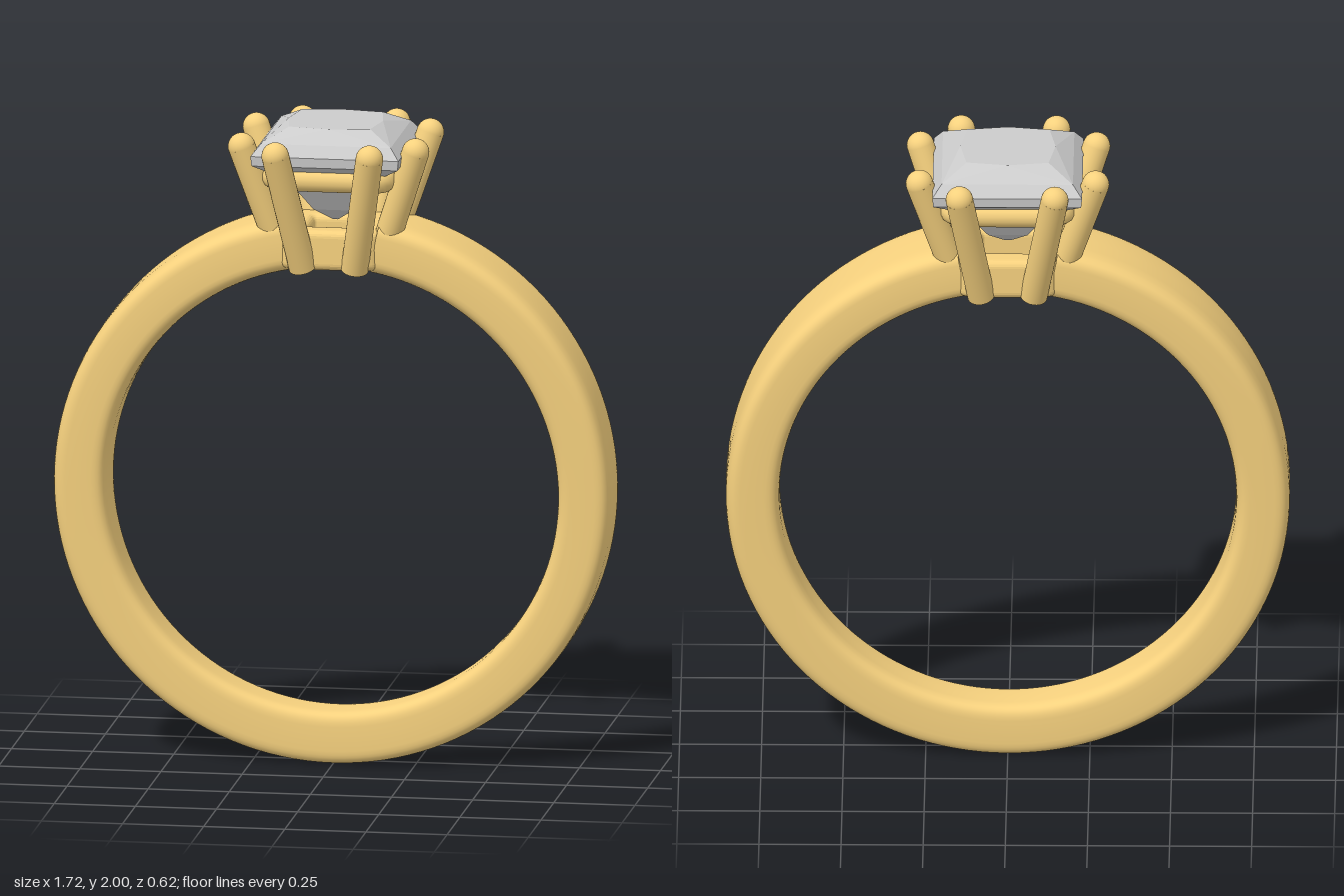
import * as THREE from 'three';

const gold = new THREE.MeshStandardMaterial({ color: 0xf6d17e });
const stone = new THREE.MeshStandardMaterial({ color: 0xcccccc, flatShading: true });

// Skin a list of equal-length point loops; both ends are closed with a fan.
function loft(loops) {
  const n = loops[0].length, pos = [], idx = [];
  loops.forEach(l => l.forEach(p => pos.push(p.x, p.y, p.z)));
  for (let i = 0; i < loops.length - 1; i++) {
    for (let j = 0; j < n; j++) {
      const a = i * n + j, b = i * n + (j + 1) % n;
      // alternate the diagonal so that facets mirror each other
      if (j % 2) idx.push(a, b, a + n, b, b + n, a + n);
      else idx.push(a, b, b + n, a, b + n, a + n);
    }
  }
  // separate cap vertices keep the end edges sharp
  [0, loops.length - 1].forEach((k, end) => {
    const base = pos.length / 3, c = new THREE.Vector3();
    loops[k].forEach(p => { c.addScaledVector(p, 1 / n); pos.push(p.x, p.y, p.z); });
    pos.push(c.x, c.y, c.z);
    for (let j = 0; j < n; j++) {
      const a = base + j, b = base + (j + 1) % n;
      idx.push(base + n, ...(end ? [a, b] : [b, a]));
    }
  });
  const g = new THREE.BufferGeometry();
  g.setAttribute('position', new THREE.Float32BufferAttribute(pos, 3));
  g.setIndex(idx);
  g.computeVertexNormals();
  return g;
}

// Rounded square outline
function roundedSquare(half, r, Type = THREE.Shape) {
  const s = new Type(), k = half - r;
  s.absarc(k, k, r, 0, Math.PI / 2);
  s.absarc(-k, k, r, Math.PI / 2, Math.PI);
  s.absarc(-k, -k, r, Math.PI, Math.PI * 1.5);
  s.absarc(k, -k, r, Math.PI * 1.5, Math.PI * 2);
  s.closePath();
  return s;
}

// Band: soft-cornered section swept round the finger, wider towards the top, open under the stone
function shankGeometry() {
  const centre = 0.863, mid = 0.777, thick = 0.082, gap = 0.18, steps = 128, sides = 40;
  const soft = v => Math.sign(v) * Math.pow(Math.abs(v), 0.42);
  const loops = [];
  for (let i = 0; i <= steps; i++) {
    const t = gap + (i / steps) * (Math.PI * 2 - gap * 2);
    const width = 0.118 + 0.029 * Math.cos(t);
    const loop = [];
    for (let j = 0; j < sides; j++) {
      const a = (j / sides) * Math.PI * 2;
      const r = mid + thick * soft(Math.cos(a));
      loop.push(new THREE.Vector3(r * Math.sin(t), centre + r * Math.cos(t), width * soft(Math.sin(a))));
    }
    loops.push(loop);
  }
  return loft(loops);
}

// Square-cut stone: each level has a corner half-size, a mid-side half-size and a height
function gemGeometry() {
  const levels = [
    [0.008, 0.008, 1.69], [0.06, 0.06, 1.73], [0.13, 0.13, 1.835], [0.225, 0.225, 1.895],
    [0.228, 0.228, 1.925], [0.2, 0.2, 1.96], [0.125, 0.145, 2.0]
  ];
  return loft(levels.map(([c, m, y]) =>
    [[c, c], [m, 0], [c, -c], [0, -m], [-c, -c], [-m, 0], [-c, c], [0, m]]
      .map(([x, z]) => new THREE.Vector3(x, y, z))));
}

export function createModel() {
  const ring = new THREE.Group();
  ring.name = 'ring';
  const add = (name, geometry, material, parent = ring) => {
    const m = new THREE.Mesh(geometry, material);
    m.name = name;
    parent.add(m);
    return m;
  };

  add('shank', shankGeometry(), gold);
  add('gemstone', gemGeometry(), stone);

  // Base of the setting: a rounded square frame bridging the gap in the band
  const frame = roundedSquare(0.14, 0.04);
  frame.holes.push(roundedSquare(0.1, 0.03, THREE.Path));
  const base = new THREE.ExtrudeGeometry(frame, {
    depth: 0.08, bevelThickness: 0.022, bevelSize: 0.022, bevelSegments: 5, curveSegments: 8
  });
  base.rotateX(-Math.PI / 2).translate(0, 1.582, 0);
  add('settingBase', base, gold);

  // Round-wire gallery rail below the stone
  const railPath = new THREE.CurvePath();
  const corners = roundedSquare(0.172, 0.045).getPoints(8).map(p => new THREE.Vector3(p.x, 1.845, p.y));
  corners.forEach((p, i) => {
    const q = corners[(i + 1) % corners.length];
    if (p.distanceTo(q) > 1e-4) railPath.add(new THREE.LineCurve3(p, q));
  });
  add('galleryRail', new THREE.TubeGeometry(railPath, 160, 0.036, 14, true), gold);

  // Eight splayed prongs, two on each side, with rounded tips
  const radius = 0.042;
  const foot = new THREE.Vector3(0.08, 1.565, 0.143);
  const tip = new THREE.Vector3(0.145, 1.938, 0.268);
  const axis = tip.clone().sub(foot);
  const stem = new THREE.CylinderGeometry(radius, radius, axis.length(), 24);
  const ball = new THREE.SphereGeometry(radius, 24, 16);
  for (let side = 0; side < 4; side++) {
    const pair = new THREE.Group();
    pair.name = 'prongPair';
    pair.rotation.y = side * Math.PI / 2;
    for (const s of [-1, 1]) {
      const flip = new THREE.Vector3(s, 1, 1);
      const prong = add('prong', stem, gold, pair);
      prong.position.copy(foot).add(tip).multiplyScalar(0.5).multiply(flip);
      prong.quaternion.setFromUnitVectors(new THREE.Vector3(0, 1, 0), axis.clone().multiply(flip).normalize());
      add('prongTip', ball, gold, pair).position.copy(tip).multiply(flip);
    }
    ring.add(pair);
  }
  return ring;
}
